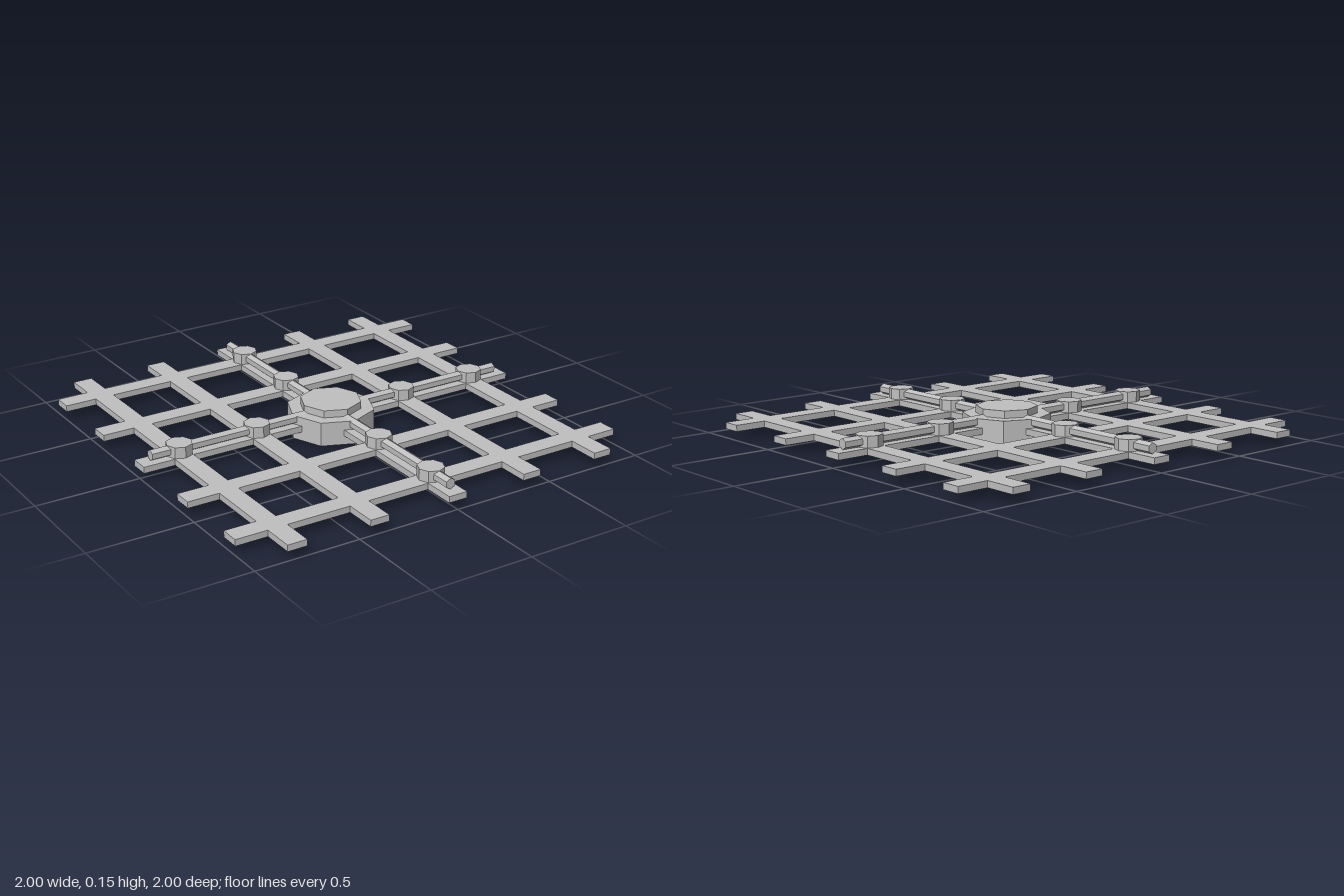
import * as THREE from 'three';

export function createModel() {
  const model = new THREE.Group();
  const grey = new THREE.MeshStandardMaterial({ color: 0xbfbfbf, flatShading: true });
  grey.name = 'plain grey';

  function add(parent, name, geometry, x = 0, y = 0, z = 0) {
    const mesh = new THREE.Mesh(geometry, grey);
    mesh.name = name;
    mesh.position.set(x, y, z);
    parent.add(mesh);
    return mesh;
  }

  // Octagonal prism with corners on the x and z axes
  const octagon = (radius, height) => new THREE.CylinderGeometry(radius, radius, height, 8);

  // Lattice of five flat bars each way
  const lattice = new THREE.Group();
  lattice.name = 'lattice';
  model.add(lattice);
  const lengthwise = new THREE.BoxGeometry(0.093, 0.03, 2);
  const crosswise = new THREE.BoxGeometry(2, 0.03, 0.093);
  for (const p of [-0.8, -0.4, 0, 0.4, 0.8]) {
    add(lattice, 'lengthwiseBar', lengthwise, p, 0.058, 0);
    add(lattice, 'crosswiseBar', crosswise, 0, 0.058, p);
  }

  // Central hub and its raised cap
  add(model, 'hub', octagon(0.207, 0.115), 0, 0.0575, 0);
  add(model, 'hubCap', octagon(0.145, 0.035), 0, 0.1325, 0);

  // Hexagonal rods, ridge upward, lying along the two middle bars
  const rodZ = new THREE.CylinderGeometry(0.026, 0.026, 1.89, 6).rotateX(Math.PI / 2);
  const rodX = rodZ.clone().rotateY(Math.PI / 2);
  add(model, 'lengthwiseRod', rodZ, 0, 0.099, 0);
  add(model, 'crosswiseRod', rodX, 0, 0.099, 0);

  // Octagonal bosses where the rods pass over the crossings
  const boss = octagon(0.062, 0.053);
  for (const p of [-0.8, -0.4, 0.4, 0.8]) {
    add(model, 'boss', boss, p, 0.0995, 0);
    add(model, 'boss', boss, 0, 0.0995, p);
  }

  return model;
}
